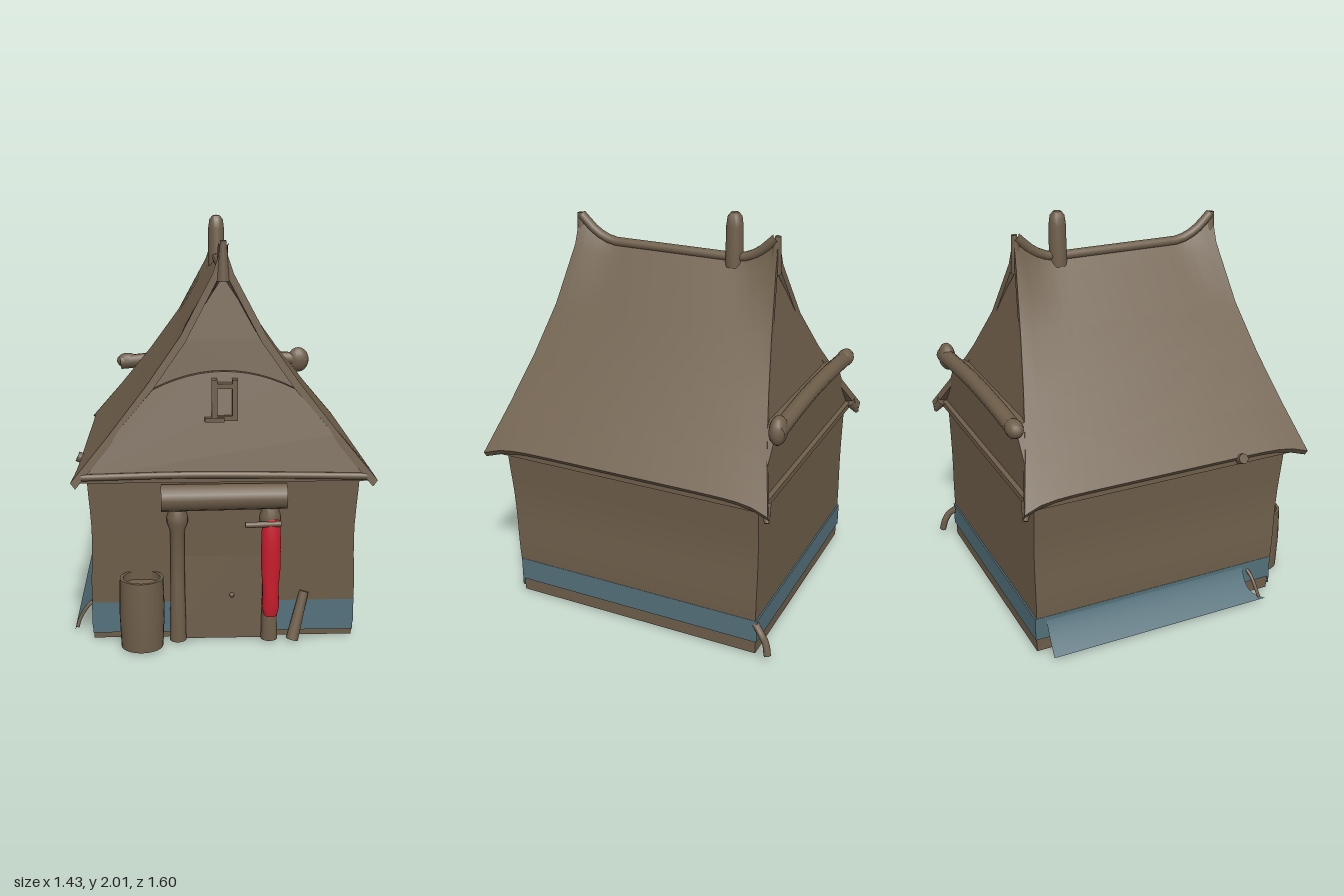
import * as THREE from 'three';
import { toCreasedNormals } from 'three/addons/utils/BufferGeometryUtils.js';
import { ParametricGeometry } from 'three/addons/geometries/ParametricGeometry.js';

const V = (x, y, z) => new THREE.Vector3(x, y, z);

// Skin between matching closed loops, running front to back, with strip caps
function loft(rings) {
  const n = rings[0].length, last = rings.length - 1, idx = [];
  const quad = (a, b, c, d) => idx.push(a, b, c, a, c, d);
  for (let i = 0; i < last; i++) {
    for (let k = 0; k < n; k++) {
      const m = (k + 1) % n;
      quad(i * n + k, i * n + m, (i + 1) * n + m, (i + 1) * n + k);
    }
  }
  for (let k = 0; k < n / 2 - 1; k++) {
    quad(k, n - 1 - k, n - 2 - k, k + 1);
    const o = last * n;
    quad(o + k, o + k + 1, o + n - 2 - k, o + n - 1 - k);
  }
  const g = new THREE.BufferGeometry().setFromPoints(rings.flat());
  g.setIndex(idx);
  return toCreasedNormals(g, 0.6);
}

// Move every vertex by a rule
function warp(geo, rule) {
  const p = geo.attributes.position, v = V(0, 0, 0);
  for (let i = 0; i < p.count; i++) {
    v.fromBufferAttribute(p, i);
    rule(v);
    p.setXYZ(i, v.x, v.y, v.z);
  }
  geo.computeVertexNormals();
  return geo;
}

export function createModel() {
  const group = new THREE.Group();
  const material = (name, color) => Object.assign(new THREE.MeshStandardMaterial({ color }), { name });
  const wood = material('brown wood', 0x6f5f4b);
  const blue = material('slate blue', 0x54717b);
  const red = material('red cloth', 0xc81c2c);
  const sheetBlue = material('slate blue sheet', 0x54717b);
  sheetBlue.side = THREE.DoubleSide;

  const add = (name, geo, mat = wood, x = 0, y = 0, z = 0) => {
    const m = new THREE.Mesh(geo, mat);
    m.name = name;
    m.position.set(x, y, z);
    group.add(m);
    return m;
  };
  const box = (name, x0, x1, y0, y1, z0, z1, mat) =>
    add(name, new THREE.BoxGeometry(x1 - x0, y1 - y0, z1 - z0), mat, (x0 + x1) / 2, (y0 + y1) / 2, (z0 + z1) / 2);
  // Straight round bar between two points
  const bar = (name, a, b, r0, r1 = r0, mat = wood) => {
    const m = add(name, new THREE.CylinderGeometry(r1, r0, a.distanceTo(b), 14), mat);
    m.position.copy(a).lerp(b, 0.5);
    m.quaternion.setFromUnitVectors(V(0, 1, 0), b.clone().sub(a).normalize());
    return m;
  };
  const tube = (name, pts, r, mat) =>
    add(name, new THREE.TubeGeometry(new THREE.CatmullRomCurve3(pts), 24, r, 10), mat);
  const lathe = (name, pts, mat, x, y, z) =>
    add(name, toCreasedNormals(new THREE.LatheGeometry(pts.map(p => new THREE.Vector2(...p)), 24), 0.7), mat, x, y, z);
  // Upright panel whose outer face leans by z = rule(y)
  const panel = (name, pts, depth, rule) => {
    const g = new THREE.ExtrudeGeometry(new THREE.Shape(pts.map(p => new THREE.Vector2(...p))), { depth, bevelEnabled: false });
    return add(name, warp(g, v => { v.z += rule(v.y); }));
  };

  // Walls, slightly uneven, with the front leaning out towards the top
  const walls = new THREE.BoxGeometry(1.25, 0.82, 1.31, 10, 10, 10);
  warp(walls, v => {
    const h = v.y + 0.41;
    const wave = 1 + 0.012 * Math.sin(h * 9) * Math.min(1, h * 3);
    v.x *= wave + 0.02 * h;
    if (v.z > 0.6) v.z += 0.06 * h;
  });
  add('walls', walls, wood, 0, 0.41, -0.055);

  // Blue foot band
  box('footBand', -0.633, 0.633, 0.07, 0.19, -0.718, 0.608, blue);
  for (const s of [-1, 1]) box('frontFootPlate', s * 0.44 - 0.19, s * 0.44 + 0.19, 0.03, 0.19, 0.602, 0.611, blue);

  // Flared sheet along the right side
  add('flaredSheet', new ParametricGeometry((u, v, t) => t.set(
    -0.63 - 0.095 * Math.pow(v, 1.3),
    0.18 - 0.17 * v,
    -0.66 + u * (1.1 + 0.09 * Math.pow(v, 5))
  ), 12, 10), sheetBlue);

  // Roof shell: half profile as [x, y, front z, back z]
  const half = [
    [0, 1.78, 0.555, -0.525], [0.05, 1.71, 0.56, -0.535], [0.2, 1.47, 0.598, -0.58],
    [0.36, 1.245, 0.64, -0.635], [0.53, 1.03, 0.69, -0.70], [0.685, 0.85, 0.73, -0.765],
  ];
  const profile = [...half.slice(1).reverse().map(([x, ...r]) => [-x, ...r]), ...half];
  const ridgeLift = s => 0.12 * Math.pow(Math.max(0, (Math.abs(s) - 0.6) / 0.4), 2);
  const rings = [];
  for (let i = 0; i <= 20; i++) {
    const s = 1 - i / 10;
    const outer = profile.map(([x, y, zf, zb]) => {
      const ax = Math.abs(x), corner = ax > 0.6 ? Math.pow(Math.abs(s), 10) : 0;
      const lift = ridgeLift(s) * (ax < 0.01 ? 1 : ax < 0.1 ? 0.35 : 0);
      return V(x * (1 + 0.035 * corner), y + lift - 0.035 * corner, (zf + zb) / 2 + s * ((zf - zb) / 2 + 0.015 * corner));
    });
    const inner = outer.map(p => V(p.x - 0.022 * Math.sign(p.x), p.y - (p.x ? 0.03 : 0.05), p.z));
    rings.push([...outer, ...inner.reverse()]);
  }
  add('roof', loft(rings));
  box('eavesFloor', -0.67, 0.67, 0.805, 0.835, -0.74, 0.715);

  // Ridge pole with horned ends
  const ridge = [];
  for (let i = 0; i <= 12; i++) {
    const s = 1 - i / 6;
    ridge.push(V(0, 1.775 + ridgeLift(s), 0.015 + s * 0.53));
  }
  tube('ridgePole', ridge, 0.024);
  for (const [z, d] of [[0.545, 1], [-0.515, -1]]) bar('ridgeHorn', V(0, 1.72, z), V(0, 1.905, z), 0.036, 0.014).rotation.x = 0.08 * d;

  // Chimney
  lathe('chimney', [[0, 0], [0.044, 0], [0.042, 0.2], [0.036, 0.245], [0.02, 0.266], [0, 0.27]], wood, 0, 1.73, -0.3);

  // Front gable: sloping skirt below, recessed triangle above
  const skirtTop = [];
  for (let i = 0; i <= 12; i++) {
    const x = 0.33 - i * 0.055;
    skirtTop.push([x, 1.31 - 0.75 * x * x]);
  }
  const skirtZ = y => 0.69 - (y - 0.83) * 0.2;
  panel('frontSkirt', [[-0.67, 0.83], [0.67, 0.83], [0.51, 1.02], ...skirtTop, [-0.51, 1.02]], 0.035, skirtZ);
  panel('frontGable', [[-0.4, 1.15], [0.4, 1.15], [0.19, 1.45], [0, 1.74], [-0.19, 1.45]], 0.03, y => 0.575 - (y - 1.15) * 0.13);
  tube('skirtEdge', [V(-0.66, 0.835, 0.725), V(-0.2, 0.845, 0.73), V(0.25, 0.84, 0.73), V(0.66, 0.83, 0.725)], 0.016);

  // Gable window
  for (const x of [-0.045, 0.05]) box('windowJamb', x - 0.013, x + 0.013, 1.09, 1.28, 0.61, 0.69);
  for (const y of [1.1, 1.25]) box('windowRail', -0.05, 0.05, y - 0.012, y + 0.012, 0.61, 0.688);
  box('windowSill', -0.09, 0.0, 1.085, 1.105, 0.64, 0.7);

  // Back gable and its log
  panel('backWall', [[-0.65, 0.8], [0.65, 0.8], [0.63, 0.89], [0.44, 1.14], [-0.44, 1.14], [-0.63, 0.89]], 0.06, () => -0.715);
  panel('backGable', [[-0.42, 1.12], [0.42, 1.12], [0.19, 1.45], [0, 1.74], [-0.19, 1.45]], 0.03, y => -0.66 + (y - 1.12) * 0.24);
  tube('backLog', [V(-0.54, 1.14, -0.735), V(-0.25, 1.165, -0.74), V(0.1, 1.17, -0.74), V(0.54, 1.15, -0.745)], 0.04);
  for (const s of [-1, 1]) {
    const knot = add('logEnd', new THREE.SphereGeometry(0.05, 14, 10), wood, s * 0.5, 1.15, -0.74);
    knot.scale.set(1.25, s > 0 ? 1.45 : 0.9, 0.85);
  }

  // Doorway
  box('door', -0.25, 0.25, 0, 0.69, 0.56, 0.625);
  add('doorKnob', new THREE.SphereGeometry(0.012, 10, 8), wood, 0.04, 0.22, 0.63);
  bar('lintel', V(-0.295, 0.72, 0.675), V(0.295, 0.725, 0.675), 0.064, 0.06);
  for (const s of [-1, 1]) {
    lathe('doorPost', [[0, 0], [0.04, 0], [0.034, 0.3], [0.034, 0.55], [0.05, 0.59], [0.05, 0.62], [0.035, 0.67], [0, 0.67]], wood, s * 0.22, 0, 0.635);
  }

  // Red banner hung from a small bracket
  const banner = lathe('banner', [[0, 0.12], [0.03, 0.125], [0.042, 0.17], [0.038, 0.26], [0.046, 0.36], [0.047, 0.48], [0.044, 0.58], [0.035, 0.61], [0, 0.615]], red, 0.224, 0, 0.66);
  banner.scale.z = 0.72;
  bar('bannerBracket', V(0.1, 0.585, 0.68), V(0.27, 0.59, 0.68), 0.014);

  // Barrel with a hollow top
  lathe('barrel', [[0, 0], [0.1, 0], [0.107, 0.17], [0.103, 0.34], [0.088, 0.34], [0.088, 0.3], [0, 0.3]], wood, -0.39, 0, 0.695);

  // Leaning stick, corner curl and eaves pegs
  bar('leaningStick', V(0.33, 0, 0.655), V(0.39, 0.23, 0.615), 0.03, 0.022);
  tube('cornerCurl', [V(0.615, 0.17, -0.7), V(0.64, 0.13, -0.745), V(0.645, 0.09, -0.77), V(0.655, 0.03, -0.785)], 0.018);
  tube('sideCurl', [V(-0.62, 0.15, 0.47), V(-0.66, 0.12, 0.48), V(-0.7, 0.06, 0.49), V(-0.715, 0.015, 0.5)], 0.009);
  bar('eavesPeg', V(-0.64, 0.82, 0.37), V(-0.705, 0.85, 0.37), 0.025);
  for (const s of [-1, 1]) bar('eavesTail', V(s * 0.64, 0.84, -0.74), V(s * 0.685, 0.77, -0.77), 0.03, 0.012);
  return group;
}
